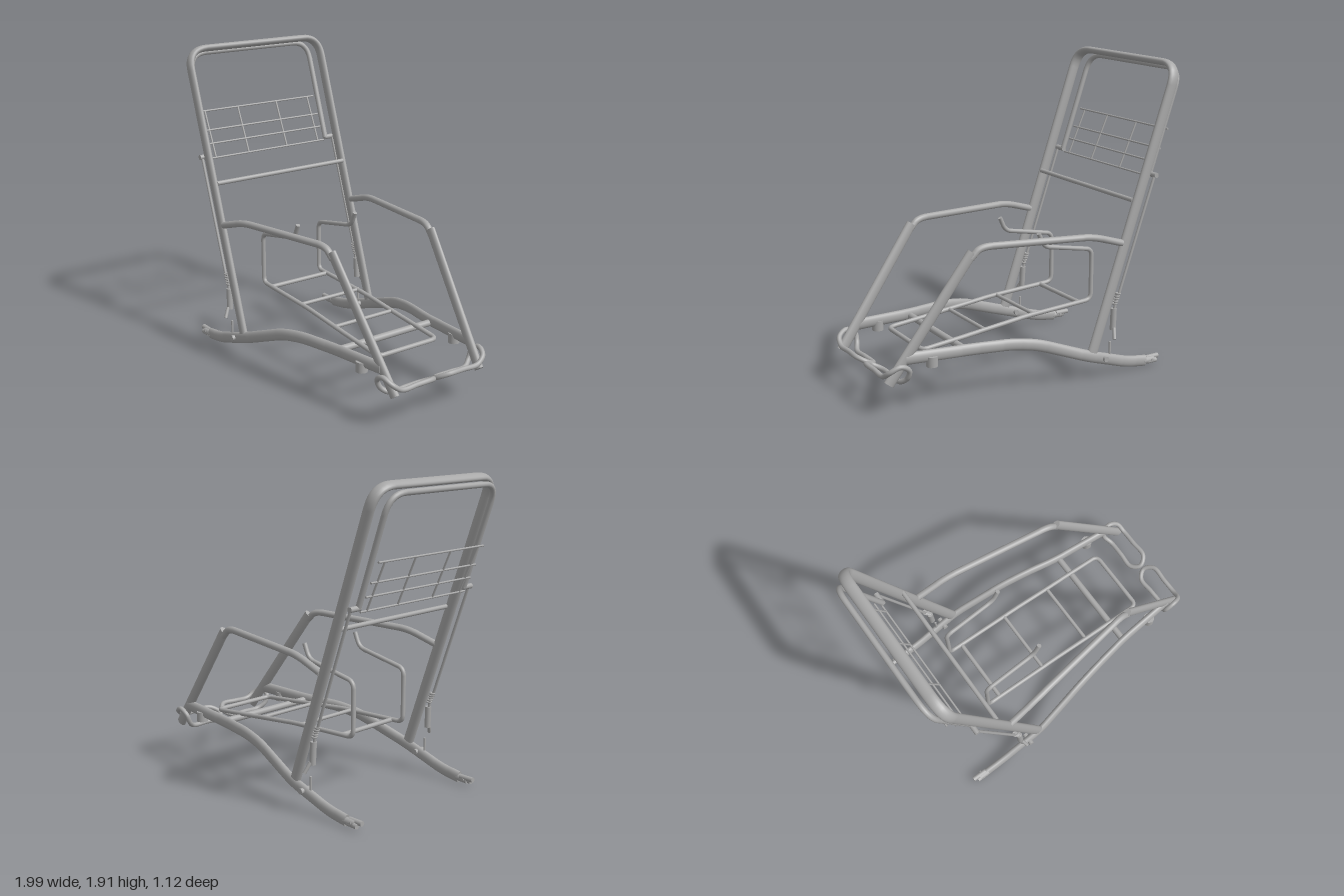
import * as THREE from 'three';

const V = (x, y, z) => new THREE.Vector3(x, y, z);
const steel = new THREE.MeshStandardMaterial({ color: 0xa8a8a8 });
steel.name = 'grey steel';

// Points of a polyline whose corners are rounded with radius r
function rounded(pts, r) {
  const path = new THREE.CurvePath();
  let last = pts[0];
  for (let i = 1; i < pts.length - 1; i++) {
    const p = pts[i];
    const toA = pts[i - 1].clone().sub(p), toB = pts[i + 1].clone().sub(p);
    const a = p.clone().addScaledVector(toA.clone().normalize(), Math.min(r, toA.length() * 0.45));
    const b = p.clone().addScaledVector(toB.clone().normalize(), Math.min(r, toB.length() * 0.45));
    path.add(new THREE.LineCurve3(last, a));
    path.add(new THREE.QuadraticBezierCurve3(a, p, b));
    last = b;
  }
  path.add(new THREE.LineCurve3(last, pts[pts.length - 1]));
  return path.getPoints(8);
}

// Capped tube with an oval section: rn along the start normal, rb across it
function sweep(pts, rn, rb = rn, normal = V(0, 0, 1), sides = 16) {
  const pos = [], idx = [], n = pts.length;
  const N = normal.clone();
  const ring = (p, { N: u, B }) => {
    for (let j = 0; j < sides; j++) {
      const t = (j / sides) * Math.PI * 2;
      const q = p.clone().addScaledVector(u, rn * Math.cos(t)).addScaledVector(B, rb * Math.sin(t));
      pos.push(q.x, q.y, q.z);
    }
  };
  const frames = pts.map((p, i) => {
    const T = V(0, 0, 0);
    if (i > 0) T.add(p.clone().sub(pts[i - 1]).normalize());
    if (i < n - 1) T.add(pts[i + 1].clone().sub(p).normalize());
    T.normalize();
    N.addScaledVector(T, -N.dot(T)).normalize();
    const frame = { N: N.clone(), B: T.cross(N) };
    ring(p, frame);
    return frame;
  });
  for (let i = 0; i < n - 1; i++) for (let j = 0; j < sides; j++) {
    const k = (j + 1) % sides, a = i * sides, b = a + sides;
    idx.push(a + j, a + k, b + k, a + j, b + k, b + j);
  }
  for (const i of [0, n - 1]) {
    const base = pos.length / 3;
    ring(pts[i], frames[i]);
    pos.push(pts[i].x, pts[i].y, pts[i].z);
    for (let j = 0; j < sides; j++) {
      const a = base + j, b = base + (j + 1) % sides;
      idx.push(base + sides, ...(i === 0 ? [b, a] : [a, b]));
    }
  }
  const g = new THREE.BufferGeometry();
  g.setAttribute('position', new THREE.Float32BufferAttribute(pos, 3));
  g.setIndex(idx);
  g.computeVertexNormals();
  return g;
}

export function createModel() {
  const model = new THREE.Group();
  model.name = 'reclinerFrame';
  const add = (name, geo) => {
    const m = new THREE.Mesh(geo, steel);
    m.name = name;
    model.add(m);
    return m;
  };
  // Straight round bar between two points
  const bar = (name, a, b, r, sides = 14) => {
    const d = b.clone().sub(a);
    const m = add(name, new THREE.CylinderGeometry(r, r, d.length(), sides));
    m.position.copy(a).add(b).multiplyScalar(0.5);
    m.quaternion.setFromUnitVectors(V(0, 1, 0), d.normalize());
  };
  const crossbar = (name, x, y, z, r) => bar(name, V(x, y, -z), V(x, y, z), r);

  // Backrest: oval hoop, with a thinner hoop behind it
  const backNormal = V(1.7, 0.58, 0).normalize();
  const hoop = (xb, yb, xt, yt, z) => [V(xb, yb, z), V(xt, yt, z), V(xt, yt, -z), V(xb, yb, -z)];
  add('backrestHoop', sweep(rounded(hoop(-0.327, 0.18, -0.917, 1.887, 0.495), 0.13), 0.036, 0.021, backNormal, 20));
  add('rearHoop', sweep(rounded(hoop(-0.765, 1.23, -0.98, 1.85, 0.45), 0.12), 0.017, 0.017, backNormal));
  crossbar('backrestCrossbar', -0.615, 1.09, 0.485, 0.014);

  // Wire panel leaning against the back
  const panelX = (y) => -0.775 - (y - 1.21) * 0.45;
  for (const y of [1.21, 1.295, 1.375, 1.49]) crossbar('panelWire', panelX(y), y, 0.445, 0.006);
  for (const z of [-0.395, -0.145, 0.15, 0.395]) {
    bar('panelUpright', V(panelX(1.21), 1.21, z), V(panelX(1.49), 1.49, z), 0.006, 8);
  }

  // Seat: one long bent tube, with a support hook at each end
  const half = (s) => [V(-0.115, 0.895, s), V(-0.155, 0.805, s), V(-0.515, 0.735, s), V(-0.515, 0.405, s),
    V(-0.02, 0.385, s), V(0.35, 0.35, s), V(0.69, 0.32, s)];
  add('seatTube', sweep(rounded([...half(0.217), ...half(-0.217).reverse()], 0.045), 0.014));
  crossbar('seatCrossbar', -0.425, 0.4, 0.21, 0.014);
  crossbar('seatCrossbar', -0.085, 0.388, 0.21, 0.012);
  crossbar('seatCrossbar', 0.265, 0.357, 0.21, 0.012);
  crossbar('railCrossbar', 0.472, 0.315, 0.35, 0.021);

  for (const s of [1, -1]) {
    // Armrest, front leg and curved lower rail
    add('armrest', sweep(rounded([V(-0.53, 0.84, s * 0.497), V(-0.32, 0.905, s * 0.479),
      V(0.39, 0.93, s * 0.372), V(0.45, 0.87, s * 0.365)], 0.07), 0.021));
    add('frontLeg', sweep([V(0.44, 0.905, s * 0.365), V(0.96, 0.2, s * 0.312)], 0.021, 0.034));
    add('lowerRail', sweep(rounded([V(-0.735, 0.04, s * 0.498), V(-0.6, 0.06, s * 0.498), V(-0.3, 0.16, s * 0.498),
      V(0.04, 0.288, s * 0.438), V(0.2, 0.315, s * 0.409), V(0.46, 0.322, s * 0.362), V(0.86, 0.338, s * 0.325)],
    0.065), 0.022, 0.036, V(0, 0, 1), 20));

    // Rear foot tip: stub with a stepped prong and cross pin
    bar('rearFootTip', V(-0.72, 0.04, s * 0.498), V(-0.8, 0.036, s * 0.498), 0.023);
    bar('rearFootProng', V(-0.75, 0.05, s * 0.49), V(-0.845, 0.049, s * 0.49), 0.016);
    bar('rearFootProng', V(-0.75, 0.032, s * 0.505), V(-0.82, 0.03, s * 0.505), 0.016);
    bar('rearFootPin', V(-0.78, 0.04, s * 0.47), V(-0.78, 0.04, s * 0.522), 0.008);

    // Front foot: closed loop hooked around the leg end
    const loop = [[0.874, 0.188, 0.06], [0.925, 0.214, 0.017], [0.977, 0.243, 0.06], [0.978, 0.243, 0.17],
      [0.978, 0.243, 0.28], [0.962, 0.28, 0.335], [0.905, 0.308, 0.356], [0.85, 0.275, 0.352],
      [0.85, 0.222, 0.33], [0.873, 0.188, 0.28], [0.874, 0.188, 0.17]];
    const curve = new THREE.CatmullRomCurve3(loop.map(([x, y, z]) => V(x, y, s * z)), true);
    add('footLoop', new THREE.TubeGeometry(curve, 80, 0.0155, 12, true));
    bar('bumper', V(0.7, 0.268, s * 0.345), V(0.7, 0.33, s * 0.345), 0.035, 20);

    // Recline mechanism: pull rod, spring, catch and pivot bolt
    bar('pullRod', V(-0.757, 1.22, s * 0.503), V(-0.505, 0.5, s * 0.503), 0.009, 10);
    bar('rodPivot', V(-0.765, 1.23, s * 0.44), V(-0.765, 1.23, s * 0.518), 0.016);
    for (let i = 0; i < 5; i++) {
      const coil = add('springCoil', new THREE.TorusGeometry(0.014, 0.005, 6, 14));
      coil.position.set(-0.508 + i * 0.006, 0.525 - i * 0.015, s * 0.5);
      coil.rotation.x = Math.PI / 2;
    }
    bar('latchStem', V(-0.5, 0.53, s * 0.5), V(-0.482, 0.42, s * 0.5), 0.009);
    bar('latchBody', V(-0.478, 0.435, s * 0.5), V(-0.472, 0.3, s * 0.503), 0.019);
    bar('latchHandle', V(-0.47, 0.315, s * 0.518), V(-0.452, 0.255, s * 0.548), 0.011);
    bar('catchPin', V(-0.455, 0.12, s * 0.5), V(-0.455, 0.225, s * 0.5), 0.007);
    bar('pivotBolt', V(-0.405, 0.13, s * 0.46), V(-0.405, 0.13, s * 0.538), 0.017);
  }
  return model;
}
